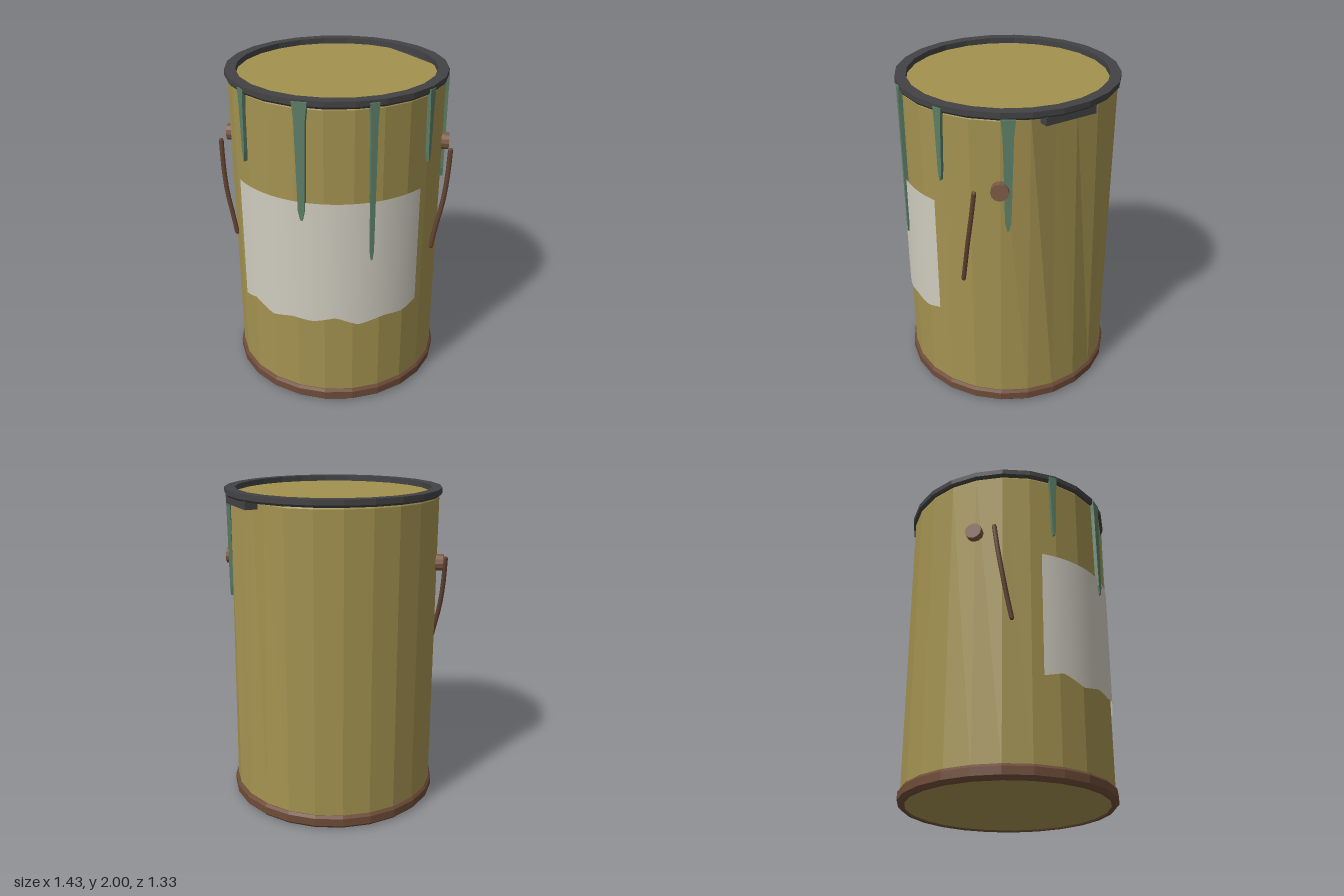
import * as THREE from 'three';

const mat = (name, color) => {
  const m = new THREE.MeshStandardMaterial({ color });
  m.name = name;
  return m;
};

export function createModel() {
  const gold = mat('mustard paint', 0xa39250);
  const dark = mat('dark metal', 0x434345);
  const rust = mat('rusty brown', 0x6e4c38);
  const bolt = mat('light rust', 0x7c5a45);
  const paper = mat('paper', 0xcfcbbf);
  paper.side = THREE.DoubleSide;
  const green = mat('green drip', 0x5c7e66);
  const wire = mat('wire brown', 0x614231);

  const group = new THREE.Group();
  const add = (name, geo, material) => {
    const mesh = new THREE.Mesh(geo, material);
    mesh.name = name;
    group.add(mesh);
    return mesh;
  };
  // Faceted normals
  const flat = (geo) => {
    const g = geo.index ? geo.toNonIndexed() : geo;
    g.computeVertexNormals();
    return g;
  };
  const lathe = (pts) =>
    new THREE.LatheGeometry(pts.map(([r, y]) => new THREE.Vector2(r, y)), 24);

  // Can body, pushed in toward the top at the back left
  const body = lathe([[0, 0.008], [0.63, 0.008], [0.648, 0.06], [0.648, 1.945], [0.638, 1.965], [0, 1.965]]);
  const dent = { 15: 0.02, 30: 0.07, 45: 0.075, 60: 0.045 };
  const p = body.attributes.position;
  for (let i = 0; i < p.count; i++) {
    const r = Math.hypot(p.getX(i), p.getZ(i));
    if (r < 0.1) continue;
    const deg = Math.round(THREE.MathUtils.radToDeg(Math.atan2(-p.getZ(i), p.getX(i))));
    const k = 1 - ((dent[deg] || 0) * p.getY(i)) / 1.965 / r;
    p.setX(i, p.getX(i) * k);
    p.setZ(i, p.getZ(i) * k);
  }
  add('body', flat(body), gold);

  // Top rim and bottom ring
  add('topRim', flat(lathe([[0.6, 1.955], [0.655, 1.955], [0.665, 1.968], [0.665, 2], [0.6, 2], [0.6, 1.955]])), dark);
  add('bottomRing', flat(lathe([[0.62, 0.008], [0.625, 0], [0.645, 0], [0.665, 0.02], [0.665, 0.068], [0.652, 0.085], [0.63, 0.085]])), rust);

  // Bent lip showing in the dent
  const lip = add('bentLip', new THREE.BoxGeometry(0.09, 0.05, 0.33), dark);
  const a = THREE.MathUtils.degToRad(36);
  lip.position.set(0.592 * Math.cos(a), 1.935, -0.592 * Math.sin(a));
  lip.rotation.y = a;

  // Wrapped label with a torn lower edge
  const torn = [[-0.535, 0.6], [-0.45, 0.635], [-0.33, 0.582], [-0.2, 0.615], [-0.07, 0.603], [0.07, 0.637],
    [0.2, 0.582], [0.35, 0.615], [0.46, 0.603], [0.53, 0.64]];
  const tornY = (x) => {
    let i = 0;
    while (i < torn.length - 2 && x > torn[i + 1][0]) i++;
    const [x0, y0] = torn[i], [x1, y1] = torn[i + 1];
    return THREE.MathUtils.lerp(y0, y1, THREE.MathUtils.clamp((x - x0) / (x1 - x0), 0, 1));
  };
  const label = new THREE.PlaneGeometry(1, 1, 40, 1);
  const lp = label.attributes.position;
  for (let i = 0; i < lp.count; i++) {
    const t = lp.getX(i) * THREE.MathUtils.degToRad(108);
    const x = 0.657 * Math.sin(t);
    lp.setXYZ(i, x, lp.getY(i) > 0 ? 1.4 : tornY(x), 0.657 * Math.cos(t));
  }
  label.computeVertexNormals();
  add('label', label, paper);

  // Paint drips: angle round the can, top, tip, half width
  const drips = [
    [Math.asin(-0.48 / 0.66), 1.985, 1.55, 0.027],
    [Math.asin(-0.125 / 0.66), 1.99, 1.29, 0.044],
    [Math.asin(0.27 / 0.66), 1.985, 1.03, 0.027],
    [Math.asin(0.567 / 0.66), 1.985, 1.55, 0.027],
    [Math.PI / 2 + 0.068, 1.962, 1.29, 0.04],
  ];
  drips.forEach(([angle, top, tip, w]) => {
    const s = new THREE.Shape();
    s.moveTo(-w, top);
    s.lineTo(-w * 0.75, top - 0.1);
    s.lineTo(-w * 0.45, tip + 0.06);
    s.lineTo(-w * 0.15, tip);
    s.lineTo(w * 0.15, tip);
    s.lineTo(w * 0.45, tip + 0.06);
    s.lineTo(w * 0.75, top - 0.1);
    s.lineTo(w, top);
    const geo = new THREE.ExtrudeGeometry(s, { depth: 0.024, bevelEnabled: false });
    geo.translate(0, 0, 0.644);
    add('paintDrip', geo, green).rotation.y = angle;
  });

  // Handle bolts and the broken wire ends on both sides
  for (const side of [1, -1]) {
    const knob = add('handleBolt', flat(new THREE.CylinderGeometry(0.052, 0.052, 0.06, 12)), bolt);
    knob.rotation.z = Math.PI / 2;
    knob.position.set(side * 0.66, 1.545, 0);

    const endY = side > 0 ? 0.925 : 0.95;
    const curve = new THREE.CatmullRomCurve3([
      [0.698, 1.54, 0.14], [0.69, 1.38, 0.16], [0.672, 1.22, 0.183], [0.64, 1.07, 0.203], [0.615, endY, 0.222],
    ].map(([x, y, z]) => new THREE.Vector3(side * x, y, z)));
    add('brokenHandle', new THREE.TubeGeometry(curve, 8, 0.015, 6), wire);
    for (const t of [0, 1]) {
      const cap = add('handleEnd', new THREE.SphereGeometry(0.015, 6, 4), wire);
      cap.position.copy(curve.getPoint(t));
    }
  }
  return group;
}
